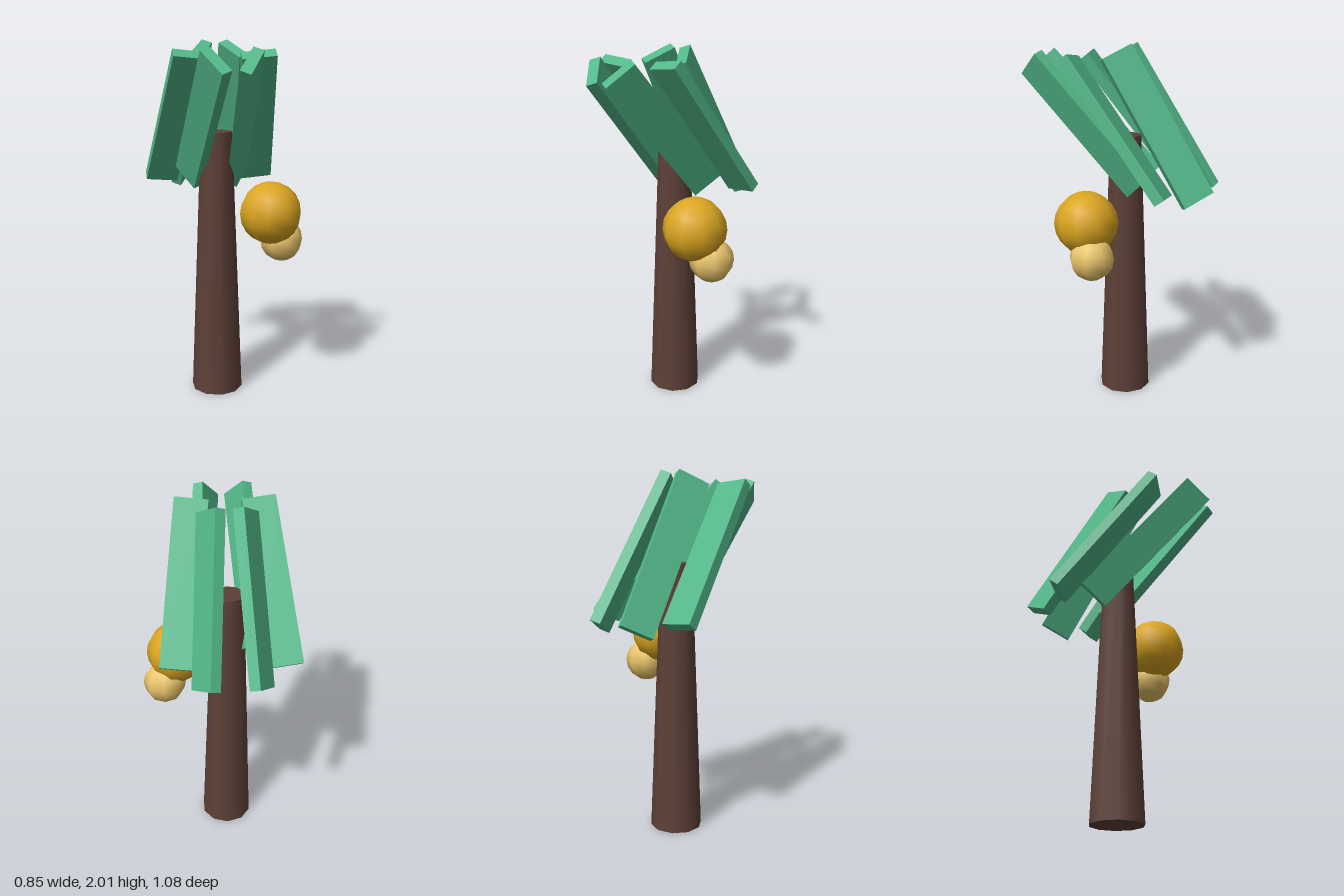
import * as THREE from 'three';

const material = (color) => new THREE.MeshStandardMaterial({ color });

function part(name, geometry, mat, x, y, z) {
  const mesh = new THREE.Mesh(geometry, mat);
  mesh.name = name;
  mesh.position.set(x, y, z);
  return mesh;
}

export function createModel() {
  const model = new THREE.Group();
  model.name = 'palmTree';

  const axisX = -0.057, axisZ = -0.028; // trunk axis
  const trunkHeight = 1.515;

  // Tapered trunk
  model.add(part('trunk', new THREE.CylinderGeometry(0.088, 0.147, trunkHeight, 10),
    material(0x5d4037), axisX, trunkHeight / 2, axisZ));

  // Six plank leaves in a ring, all leaning forwards
  const leafGeometry = new THREE.BoxGeometry(0.18, 0.89, 0.06);
  const leafMaterial = material(0x52b788);
  for (let i = 0; i < 6; i++) {
    const a = (i * Math.PI) / 3;
    const leaf = part('leaf', leafGeometry, leafMaterial,
      axisX + 0.229 * Math.cos(a), 1.58, axisZ + 0.229 * Math.sin(a));
    leaf.rotation.set(0.648, a, 0.12);
    model.add(leaf);
  }

  // Two hanging fruits
  model.add(part('largeFruit', new THREE.SphereGeometry(0.173, 10, 10),
    material(0xdaa520), 0.22, 1.077, 0.123));
  model.add(part('smallFruit', new THREE.SphereGeometry(0.122, 8, 8),
    material(0xe9c46a), 0.297, 0.908, 0.073));

  return model;
}
